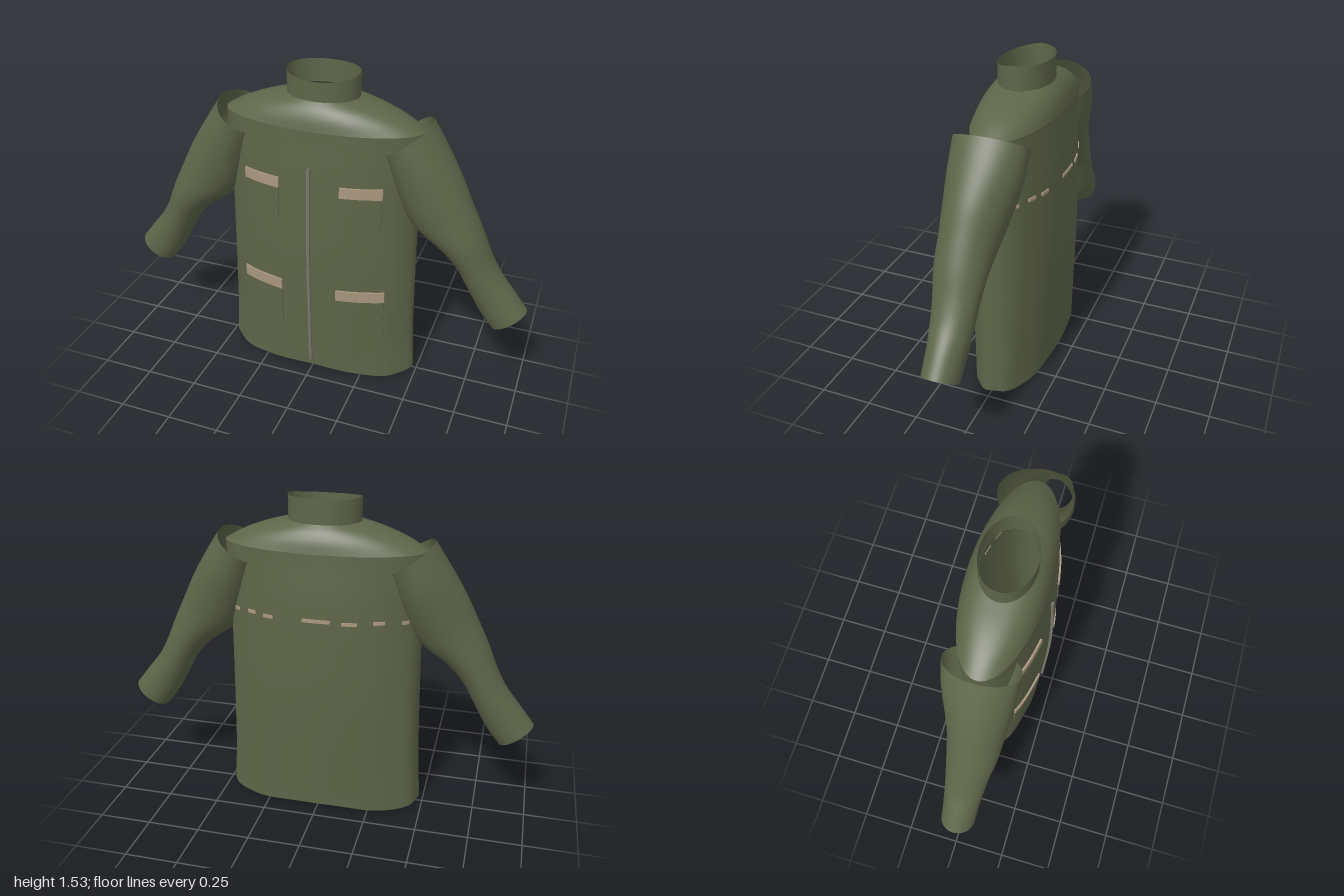
import * as THREE from 'three';
import { toCreasedNormals } from 'three/addons/utils/BufferGeometryUtils.js';

const mat = (name, color) => {
  const m = new THREE.MeshStandardMaterial({ color, side: THREE.DoubleSide });
  m.name = name;
  return m;
};

// Surface over u (0..1) and v (0..1); closed joins the last column to the first
function grid(nu, nv, fn, closed = false) {
  const cols = closed ? nu : nu + 1, pos = [], idx = [];
  for (let j = 0; j <= nv; j++)
    for (let i = 0; i < cols; i++) pos.push(...fn(i / nu, j / nv, i, j));
  for (let j = 0; j < nv; j++)
    for (let i = 0; i < nu; i++) {
      const a = j * cols + i, b = j * cols + (i + 1) % cols;
      idx.push(a, b, a + cols, b, b + cols, a + cols);
    }
  const g = new THREE.BufferGeometry();
  g.setAttribute('position', new THREE.Float32BufferAttribute(pos, 3));
  g.setIndex(idx);
  g.computeVertexNormals();
  return g;
}

// Smooth interpolation through rows of numbers, t in 0..1
function sample(rows, t) {
  const n = rows.length - 1, k = Math.min(Math.floor(t * n), n - 1), f = t * n - k;
  const at = (i) => rows[Math.max(0, Math.min(n, i))];
  return rows[0].map((_, c) => {
    const p0 = at(k - 1)[c], p1 = at(k)[c], p2 = at(k + 1)[c], p3 = at(k + 2)[c];
    return p1 + 0.5 * f * (p2 - p0 + f * (2 * p0 - 5 * p1 + 4 * p2 - p3 + f * (3 * (p1 - p2) + p3 - p0)));
  });
}

// Torso half width and half depth at even heights from hem to yoke
const YOKE = 1.3;
const TORSO = [[0.482, 0.182], [0.47, 0.19], [0.464, 0.198], [0.46, 0.203], [0.457, 0.2], [0.46, 0.193], [0.47, 0.18]];

function torsoPoint(theta, y) {
  const [a, b] = sample(TORSO, y / YOKE);
  const fold = 1 + 0.008 * Math.sin(11 * theta + y) * (1 - y / YOKE);
  return [a * fold * Math.cos(theta), y, b * fold * Math.sin(theta)];
}

// Thin slab that follows the front (side 1) or back (side -1) of the torso
function torsoPatch(x0, x1, y0, y1, thick, side = 1) {
  const nu = 10, nv = 10;
  const inner = (i, n) => Math.min(Math.max((i - 1) / (n - 2), 0), 1);
  const g = grid(nu, nv, (u, v, i, j) => {
    const x = x0 + (x1 - x0) * inner(i, nu), y = y0 + (y1 - y0) * inner(j, nv);
    const p = torsoPoint(side * Math.acos(x / sample(TORSO, y / YOKE)[0]), y);
    const rim = i === 0 || j === 0 || i === nu || j === nv;
    return [x, y, p[2] + side * (rim ? -0.002 : thick)];
  });
  return toCreasedNormals(g, 0.7);
}

// Sleeve stations: outer x, y, inner x, y, centre z, half depth
const SLEEVE = [
  [0.497, 1.343, 0.294, 1.2, 0, 0.17],
  [0.572, 1.23, 0.35, 1.05, 0.005, 0.163],
  [0.645, 1.11, 0.405, 0.925, 0.015, 0.145],
  [0.7, 1.0, 0.47, 0.845, 0.022, 0.13],
  [0.765, 0.865, 0.575, 0.77, 0.025, 0.117],
  [0.812, 0.755, 0.655, 0.685, 0.02, 0.103],
  [0.862, 0.665, 0.715, 0.58, 0.017, 0.094],
  [0.93, 0.58, 0.78, 0.465, 0.015, 0.085],
  [0.998, 0.493, 0.845, 0.38, 0.015, 0.08],
];

function sleevePoint(side, u, v, grow = 0) {
  const [ox, oy, ix, iy, cz, d] = sample(SLEEVE, v);
  const c = Math.cos(u * Math.PI * 2) * (1 + grow), s = Math.sin(u * Math.PI * 2) * (1 + grow);
  return [side * ((ox + ix) / 2 + c * (ox - ix) / 2), (oy + iy) / 2 + c * (oy - iy) / 2, cz + s * d];
}

export function createModel() {
  const root = new THREE.Group();
  root.name = 'fieldJacket';
  const cloth = mat('oliveCloth', 0x5e6549);
  const trim = mat('tanTrim', 0xa9977f);
  const metal = mat('zipMetal', 0x77756a);
  const add = (name, geometry, material) => {
    const m = new THREE.Mesh(geometry, material);
    m.name = name;
    root.add(m);
  };

  // Torso with a gently waving hem
  add('torso', grid(96, 40, (u, v) => {
    const t = u * Math.PI * 2, hem = 0.011 * (1 - Math.cos(4 * t + Math.PI)) * (1 - v) ** 8;
    const p = torsoPoint(t, v * YOKE);
    return [p[0], p[1] + hem, p[2]];
  }, true), cloth);

  // Domed shoulder yoke up to the neck opening
  const yoke = [[0.47, 0.18, 1.3], [0.385, 0.168, 1.348], [0.28, 0.148, 1.388], [0.168, 0.121, 1.417]];
  add('shoulderYoke', grid(96, 12, (u, v) => {
    const t = u * Math.PI * 2, [a, b, y] = sample(yoke, v);
    return [a * Math.cos(t), y, b * Math.sin(t)];
  }, true), cloth);

  // Stand collar, lower at the front
  add('collar', grid(64, 4, (u, v) => {
    const t = u * Math.PI * 2, front = Math.max(0, Math.sin(t));
    const low = 1.418 - 0.016 * front, high = 1.527 - 0.022 * front;
    return [0.168 * Math.cos(t), low + (high - low) * v, 0.122 * Math.sin(t)];
  }, true), cloth);

  // Open sleeves with a cuff tab
  for (const [side, label] of [[1, 'left'], [-1, 'right']]) {
    add(label + 'Sleeve', grid(48, 48, (u, v) => sleevePoint(side, u, v), true), cloth);
    add(label + 'CuffTab', grid(8, 2, (u, v) =>
      sleevePoint(side, 0.15 + u * 0.2, 0.9 + v * 0.03, 0.015)), cloth);
  }

  // Pockets with tan flaps: x range, bottom, flap bottom, top
  const pockets = [
    ['rightChest', -0.33, -0.15, 0.85, 1.01, 1.06],
    ['leftChest', 0.145, 0.325, 0.85, 1.01, 1.06],
    ['rightHip', -0.355, -0.145, 0.26, 0.46, 0.515],
    ['leftHip', 0.135, 0.35, 0.26, 0.46, 0.515],
  ];
  for (const [label, x0, x1, low, flap, top] of pockets) {
    add(label + 'Pocket', torsoPatch(x0, x1, low, top - 0.005, 0.005), cloth);
    add(label + 'Flap', torsoPatch(x0 - 0.003, x1 + 0.003, flap, top, 0.009), trim);
  }

  // Front zip
  add('zip', torsoPatch(-0.007, 0.007, 0.06, 1.13, 0.012), metal);

  // Broken stitching line across the back
  const stitches = [[0.38, 0.41], [0.29, 0.33], [0.2, 0.25], [-0.07, 0.06], [-0.19, -0.12], [-0.31, -0.26], [-0.41, -0.38]];
  stitches.forEach(([x0, x1], i) =>
    add('backStitch', torsoPatch(x0, x1, 0.985 + (i % 2) * 0.006, 1.0 + (i % 2) * 0.006, 0.006, -1), trim));

  return root;
}
